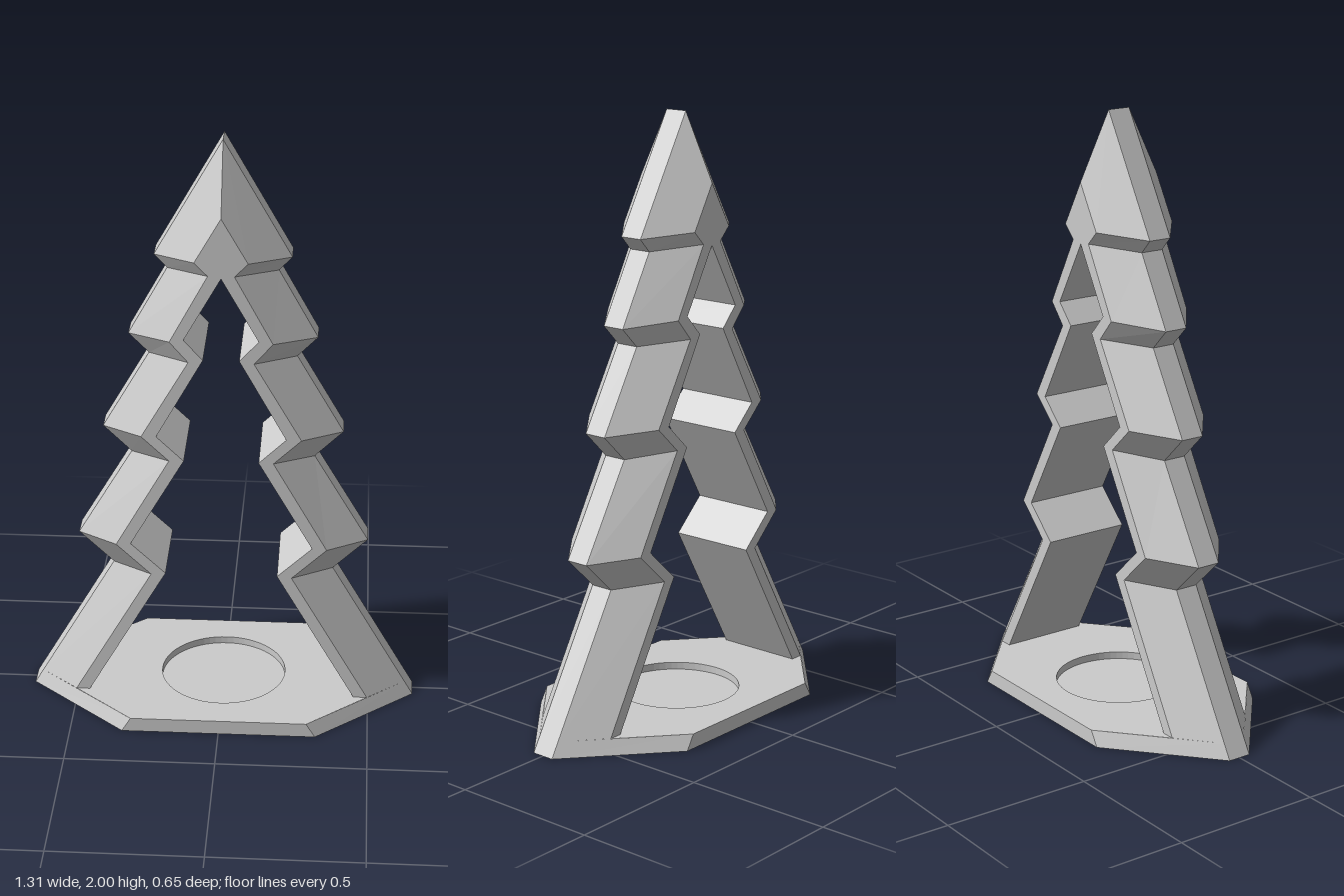
import * as THREE from 'three';

const material = new THREE.MeshStandardMaterial({ color: 0xcccccc, flatShading: true, side: THREE.DoubleSide });
const RIM = 0.04;    // half width of the outer rim
const DEPTH = 0.15;  // half depth of the frame
const BASE = 0.05;   // plate thickness
const RECESS_R = 0.213;
const RECESS_DEPTH = 0.025;

// Frame stations from apex to foot: [outer x, y], [bevel x, y], [inner x, y]
const STATIONS = [
  [[0, 2], [0, 1.78], [0, 1.58]],
  [[0.22, 1.615], [0.085, 1.632], [0, 1.58]],
  [[0.178, 1.57], [0.042, 1.588], [0, 1.58]],
  [[0.306, 1.34], [0.165, 1.36], [0.12, 1.367]],
  [[0.24, 1.273], [0.105, 1.29], [0.058, 1.299]],
  [[0.395, 1.005], [0.26, 1.022], [0.211, 1.023]],
  [[0.302, 0.914], [0.17, 0.936], [0.122, 0.937]],
  [[0.485, 0.604], [0.349, 0.62], [0.301, 0.624]],
  [[0.37, 0.493], [0.234, 0.51], [0.186, 0.515]],
  [[0.626, BASE], [0.497, BASE], [0.451, BASE]],
];

// Flat-shaded geometry from quads, dropping collapsed triangles
function quadGeometry(quads) {
  const points = [];
  for (const [a, b, c, d] of quads) {
    for (const [p, q, r] of [[a, b, c], [a, c, d]]) {
      if (new THREE.Triangle(p, q, r).getArea() > 1e-7) points.push(p, q, r);
    }
  }
  const geometry = new THREE.BufferGeometry().setFromPoints(points);
  geometry.computeVertexNormals();
  return geometry;
}

// One half of the notched tree frame, swept through six-sided sections
function frameHalf(side) {
  const sections = STATIONS.map(([o, b, i]) =>
    [[o, RIM], [b, DEPTH], [i, DEPTH], [i, -DEPTH], [b, -DEPTH], [o, -RIM]]
      .map(([p, z]) => new THREE.Vector3(side * p[0], p[1], z)));
  const quads = [];
  for (let k = 0; k < sections.length - 1; k++) {
    for (let j = 0; j < 6; j++) {
      const n = (j + 1) % 6;
      const quad = [sections[k][j], sections[k][n], sections[k + 1][n], sections[k + 1][j]];
      quads.push(side > 0 ? quad : quad.reverse());
    }
  }
  return quadGeometry(quads);
}

// Repeats a quarter outline in all four quadrants of the plate
function fourWay(quarter) {
  const back = quarter.map(([x, z]) => [x, -z]);
  const right = [...quarter].reverse().concat(back);
  return right.concat(right.map(([x, z]) => [-x, -z]));
}

const toShape = (outline) => new THREE.Shape(outline.map(([x, z]) => new THREE.Vector2(x, z)));

export function createModel() {
  const group = new THREE.Group();
  const add = (name, geometry, y = 0, parent = group) => {
    const mesh = new THREE.Mesh(geometry, material);
    mesh.name = name;
    mesh.position.y = y;
    parent.add(mesh);
  };

  // Tree frame
  add('leftFrame', frameHalf(1));
  add('rightFrame', frameHalf(-1));

  // Base plate with slanted sides
  const base = new THREE.Group();
  base.name = 'base';
  group.add(base);
  const bottom = fourWay([[0.655, RIM], [0.325, 0.325]]);
  const top = fourWay([[0.626, RIM], [0.295, 0.325]]);
  const sides = bottom.map((p, i) => {
    const n = (i + 1) % bottom.length;
    const at = ([x, z], y) => new THREE.Vector3(x, y, z);
    return [at(p, 0), at(bottom[n], 0), at(top[n], BASE), at(top[i], BASE)];
  });
  add('baseSides', quadGeometry(sides), 0, base);
  add('baseUnderside', new THREE.ShapeGeometry(toShape(bottom)).rotateX(Math.PI / 2), 0, base);

  // Plate top, cut out around the frame feet and the round recess
  const topShape = toShape(fourWay([[0.451, DEPTH], [0.497, DEPTH], [0.295, 0.325]]));
  topShape.holes.push(new THREE.Path().absarc(0, 0, RECESS_R, 0, Math.PI * 2, true));
  add('baseTop', new THREE.ShapeGeometry(topShape, 32).rotateX(-Math.PI / 2), BASE, base);

  // Round recess
  add('recessWall', new THREE.CylinderGeometry(RECESS_R, RECESS_R, RECESS_DEPTH, 64, 1, true),
    BASE - RECESS_DEPTH / 2, base);
  add('recessFloor', new THREE.CircleGeometry(RECESS_R, 64).rotateX(-Math.PI / 2), BASE - RECESS_DEPTH, base);

  return group;
}
